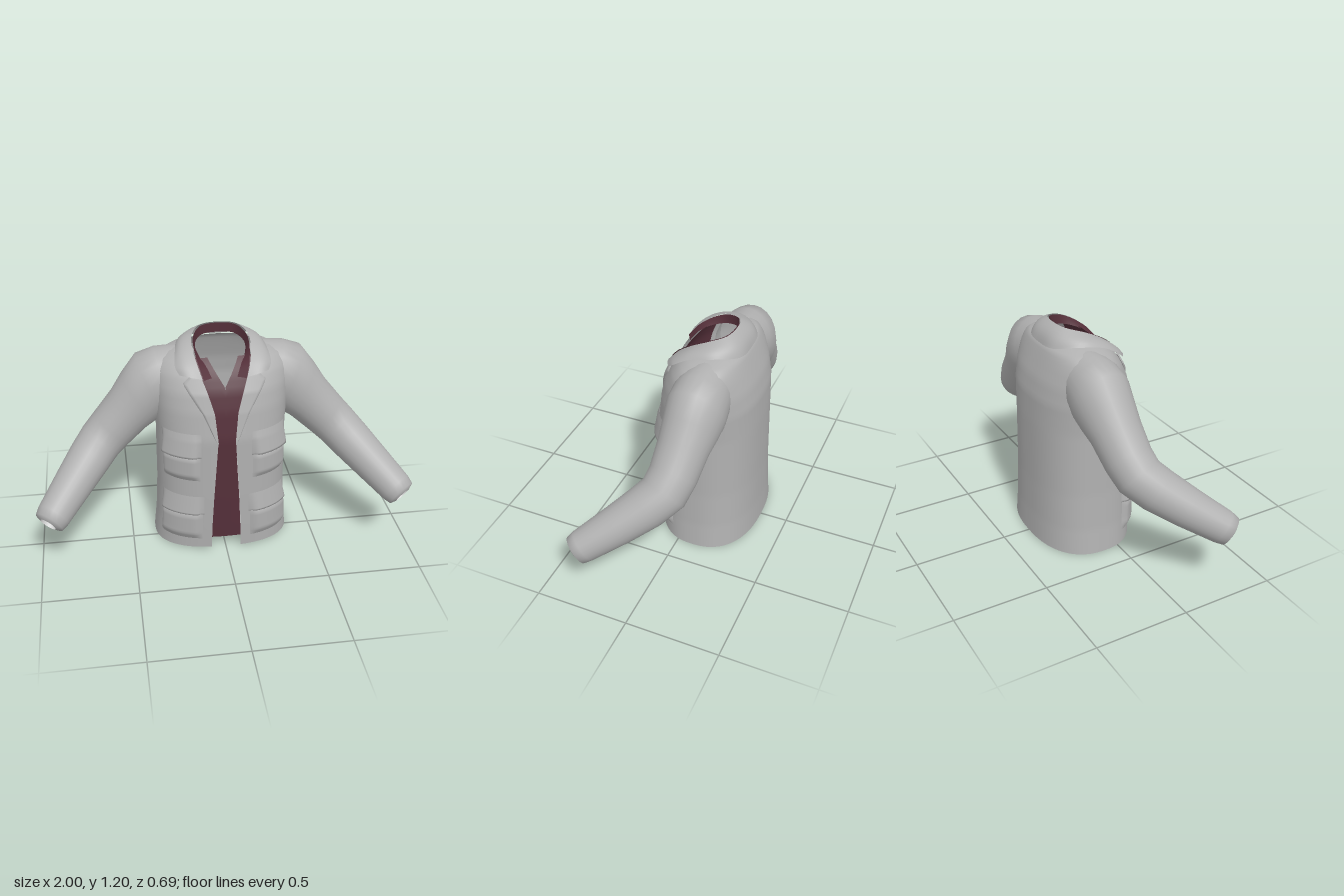
import * as THREE from 'three';
import { mergeVertices } from 'three/addons/utils/BufferGeometryUtils.js';

const { lerp, clamp } = THREE.MathUtils;
const material = (name, color) =>
  new THREE.MeshStandardMaterial({ name, color, side: THREE.DoubleSide });

// Torso cross-sections: height, front z, back z, half width, half opening
const LEVELS = [
  [0.01, 0.18, -0.35, 0.372, 0.08],
  [0.15, 0.187, -0.343, 0.358, 0.078],
  [0.35, 0.195, -0.338, 0.348, 0.068],
  [0.70, 0.2, -0.335, 0.345, 0.045],
  [0.85, 0.178, -0.33, 0.355, 0.06],
  [0.95, 0.15, -0.31, 0.36, 0.09],
  [1.03, 0.108, -0.28, 0.355, 0.12],
  [1.08, 0.07, -0.26, 0.32, 0.14],
  [1.11, 0.035, -0.245, 0.26, 0.15],
  [1.13, 0.0, -0.2, 0.17, 0.14],
];
const POWER = 2.4;

function table(rows, y) {
  let i = 0;
  while (i < rows.length - 2 && y > rows[i + 1][0]) i++;
  const t = clamp((y - rows[i][0]) / (rows[i + 1][0] - rows[i][0]), 0, 1);
  return rows[i].map((v, k) => lerp(v, rows[i + 1][k], t));
}

// Point on the torso at an angle from the front, pushed outward by off
function torso(a, y, off = 0) {
  const [, zf, zb, hw] = table(LEVELS, y);
  const bend = (v) => Math.sign(v) * Math.abs(v) ** (2 / POWER);
  const s = Math.sin(a), c = Math.cos(a);
  const nx = s / hw, nz = c / ((zf - zb) / 2), n = Math.hypot(nx, nz);
  return [hw * bend(s) + (off * nx) / n, y,
    (zf + zb) / 2 + ((zf - zb) / 2) * bend(c) + (off * nz) / n];
}

// Angle at which the torso surface has a given x
const angleAt = (x, y) =>
  Math.asin(clamp(x / table(LEVELS, y)[3], 0, 1) ** (POWER / 2));
const openAngle = (y) => angleAt(table(LEVELS, y)[4], y);

// Surface sampled on a grid
function grid(nu, nv, fn) {
  const pos = [], index = [];
  for (let j = 0; j <= nv; j++) {
    for (let i = 0; i <= nu; i++) pos.push(...fn(i / nu, j / nv));
  }
  for (let j = 0; j < nv; j++) {
    for (let i = 0; i < nu; i++) {
      const a = j * (nu + 1) + i, b = a + nu + 1;
      index.push(a, a + 1, b + 1, a, b + 1, b);
    }
  }
  let g = new THREE.BufferGeometry();
  g.setAttribute('position', new THREE.Float32BufferAttribute(pos, 3));
  g.setIndex(index);
  g = mergeVertices(g, 1e-5);
  g.computeVertexNormals();
  return g;
}

// Sleeve rings: centre, direction, radius along z, radius across
const SLEEVE = [
  [[0.2, 0.97, -0.11], [1, -0.2, 0], 0.13, 0.15],
  [[0.29, 0.945, -0.11], [0.95, -0.3, 0], 0.148, 0.172],
  [[0.36, 0.91, -0.11], [0.9, -0.42, 0], 0.153, 0.183],
  [[0.42, 0.845, -0.105], [0.8, -0.58, 0], 0.142, 0.16],
  [[0.48, 0.78, -0.095], [0.74, -0.67, 0.03], 0.13, 0.138],
  [[0.58, 0.675, -0.083], [0.71, -0.66, 0.12], 0.122, 0.126],
  [[0.645, 0.61, -0.062], [0.65, -0.6, 0.3], 0.12, 0.12],
  [[0.71, 0.548, 0.005], [0.58, -0.52, 0.55], 0.114, 0.115],
  [[0.8, 0.467, 0.115], [0.55, -0.49, 0.67], 0.102, 0.104],
  [[0.91, 0.37, 0.256], [0.55, -0.49, 0.67], 0.085, 0.09],
  [[0.933, 0.349, 0.285], [0.55, -0.49, 0.67], 0.076, 0.08],
  [[0.94, 0.343, 0.293], [0.55, -0.49, 0.67], 0.042, 0.046],
];
const CUFF = [SLEEVE[11], [[0.9, 0.38, 0.25], [0.55, -0.49, 0.67], 0.04, 0.044]];

const tube = (rings, s) => grid(24, rings.length - 1, (u, v) => {
  const [centre, dir, rb, rc] = rings[Math.round(v * (rings.length - 1))];
  const n = new THREE.Vector3(...dir).normalize();
  const b = new THREE.Vector3(0, 0, 1).addScaledVector(n, -n.z).normalize();
  const c = new THREE.Vector3().crossVectors(n, b);
  const a = (u % 1) * Math.PI * 2;
  const p = new THREE.Vector3(...centre)
    .addScaledVector(b, rb * Math.cos(a)).addScaledVector(c, rc * Math.sin(a));
  return [s * p.x, p.y, p.z];
});

// Symmetric curve round the neck, given from the back centre to the front
function neckCurve(points) {
  const left = points.slice(1).reverse().map(([x, y, z]) => [-x, y, z]);
  return new THREE.CatmullRomCurve3(
    [...left, ...points].map((p) => new THREE.Vector3(...p)));
}

const LAPEL = [[0.68, 0.047], [0.85, 0.12], [0.985, 0.205], [1.0, 0.21], [1.04, 0.168]];
const VEST_EDGE = [[0.08, 0], [0.97, 0], [1.1, 0.08]];

export function createModel() {
  const model = new THREE.Group();
  const cloth = material('grey cloth', 0xb0b0b0);
  const lining = material('pale lining', 0xcfcfcf);
  const wine = material('wine cloth', 0x55303a);
  const add = (name, geometry, mat) => {
    const mesh = new THREE.Mesh(geometry, mat);
    mesh.name = name;
    model.add(mesh);
  };

  // Shell open at the front
  const shell = (y0, y1, off) => grid(80, 48, (u, v) => {
    const y = lerp(y0, y1, v), a0 = openAngle(y);
    const p = torso(lerp(a0, Math.PI * 2 - a0, u), y, off);
    p[1] += 0.012 * Math.max(0, 1 - y / 0.15) * Math.max(0, p[2] / 0.18);
    return p;
  });
  add('jacketBody', shell(0.01, 1.13, 0), cloth);
  add('hemLining', shell(0.012, 0.6, -0.007), lining);

  for (const s of [1, -1]) {
    const side = s > 0 ? 'left' : 'right';
    const mirror = ([x, y, z]) => [s * x, y, z];
    add(side + 'Sleeve', tube(SLEEVE, s), cloth);
    add(side + 'CuffLining', tube(CUFF, s), lining);

    // Raised panel on the torso between two angles
    const panel = (name, a0, a1, y0, y1, height) => add(side + name,
      grid(20, 14, (u, v) => mirror(torso(lerp(a0, a1, u), lerp(y0, y1, v),
        height(v) * clamp(Math.min(u, 1 - u) * 9, 0, 1)))), cloth);
    const pouch = (h) => (v) => h * clamp(Math.min(v * 5, (1 - v) * 5), 0, 1);
    const flap = (h) => (v) => (v === 0 ? 0 : lerp(h, 0.003, v));
    panel('ChestPocket', 0.34, 1.14, 0.46, 0.62, pouch(0.018));
    panel('ChestFlap', 0.32, 1.17, 0.6, 0.74, flap(0.032));
    panel('HipPocket', 0.3, 1.18, 0.08, 0.27, pouch(0.02));
    panel('HipFlap', 0.28, 1.2, 0.245, 0.36, flap(0.027));

    // Notched lapel
    add(side + 'Lapel', grid(8, 36, (u, v) => {
      const y = lerp(0.68, 1.04, v);
      const a = lerp(openAngle(y), angleAt(table(LAPEL, y)[1], y), u);
      return mirror(torso(a, y, u === 1 ? 0.003 : 0.012));
    }), cloth);

    // Front half of the inner waistcoat
    add(side + 'WaistcoatFront', grid(16, 40, (u, v) => {
      const y = lerp(0.08, 1.1, v);
      const outer = Math.min(0.3, table(LEVELS, y)[3] * 0.8);
      const x = lerp(table(VEST_EDGE, y)[1], outer, u);
      return mirror(torso(angleAt(x, y), y, -0.014));
    }), wine);
  }

  // Turned-down collar
  const top = [[0, 1.205, -0.18], [0.095, 1.2, -0.16], [0.145, 1.178, -0.08],
    [0.15, 1.14, 0], [0.135, 1.085, 0.075], [0.115, 1.025, 0.125]];
  const bottom = [[0, 1.108, -0.257], [0.12, 1.115, -0.243], [0.21, 1.134, -0.15],
    [0.238, 1.115, -0.02], [0.245, 1.07, 0.06], [0.228, 1.042, 0.093]];
  const topCurve = neckCurve(top), bottomCurve = neckCurve(bottom);
  add('collar', grid(60, 8, (u, v) => {
    const p = topCurve.getPoint(u).lerp(bottomCurve.getPoint(u), v);
    const bulge = 0.016 * Math.sin(Math.PI * v);
    const out = new THREE.Vector3(p.x, 0.1, p.z + 0.07).normalize();
    return p.addScaledVector(out, bulge).toArray();
  }), cloth);

  // Band inside the collar
  const inner = neckCurve(top.map(([x, y, z]) => [x * 0.95, y - 0.003, z + 0.007]));
  const lower = neckCurve([[0, 1.15, -0.175], [0.085, 1.148, -0.155], [0.128, 1.13, -0.08],
    [0.12, 1.105, 0], [0.09, 1.07, 0.065], [0.065, 1.02, 0.105]]);
  add('neckBand', grid(60, 3, (u, v) =>
    inner.getPoint(u).lerp(lower.getPoint(u), v).toArray()), wine);

  return model;
}
